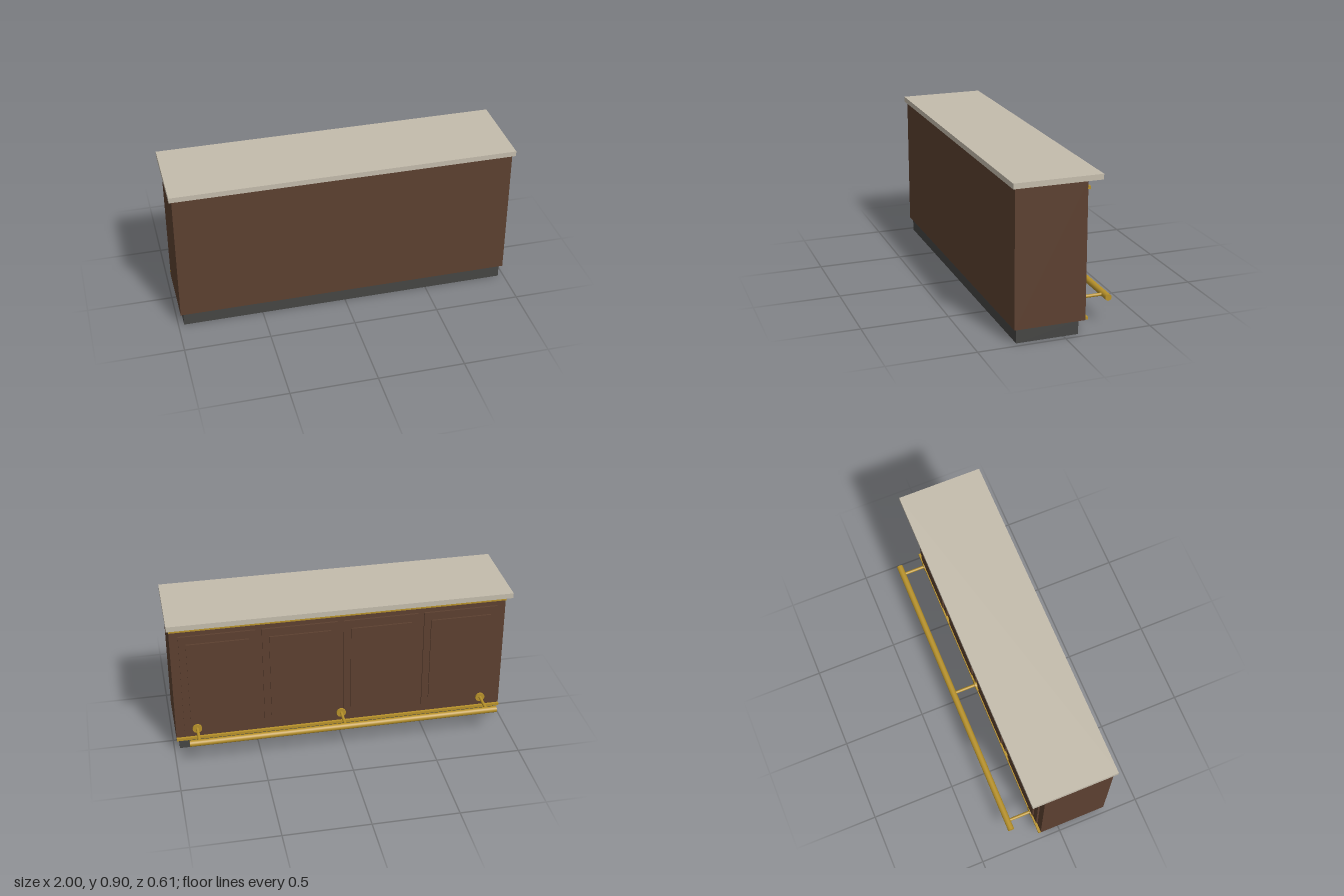
import * as THREE from 'three';

export function createModel() {
  const group = new THREE.Group();
  const material = (color) => new THREE.MeshStandardMaterial({ color });
  const wood = material(0x5c4030);
  const stone = material(0xc4bcac);
  const dark = material(0x454543);
  const brass = material(0xb8922a);

  const add = (name, geometry, mat) => {
    const mesh = new THREE.Mesh(geometry, mat);
    mesh.name = name;
    group.add(mesh);
    return mesh;
  };

  // Box given by its x centre, width, and y and z ranges
  const box = (name, mat, x, width, y0, y1, z0, z1) => {
    const mesh = add(name, new THREE.BoxGeometry(width, y1 - y0, z1 - z0), mat);
    mesh.position.set(x, (y0 + y1) / 2, (z0 + z1) / 2);
  };

  // Cylinder lying along z
  const rod = (name, x, y, radius, z0, z1) => {
    const geometry = new THREE.CylinderGeometry(radius, radius, z1 - z0, 20).rotateX(Math.PI / 2);
    add(name, geometry, brass).position.set(x, y, (z0 + z1) / 2);
  };

  // Plinth, cabinet and countertop
  box('plinth', dark, 0, 1.934, 0, 0.083, -0.086, 0.272);
  box('cabinet', wood, 0, 1.968, 0.083, 0.871, -0.12, 0.288);
  box('countertop', stone, 0, 2, 0.871, 0.902, -0.201, 0.303);

  // Four raised panels, each with a smaller raised field
  for (let i = 0; i < 4; i++) {
    const x = (i - 1.5) * 0.476;
    box('panel', wood, x, 0.44, 0.15, 0.787, -0.131, -0.118);
    box('panelField', wood, x, 0.36, 0.2, 0.738, -0.141, -0.13);
  }

  // Brass trim strips above and below the panels
  for (const y of [0.093, 0.83]) {
    box('trimStrip', brass, 0, 1.968, y - 0.008, y + 0.008, -0.135, -0.119);
  }

  // Foot rail on three brackets
  const railY = 0.165;
  const railZ = -0.284;
  const rail = add('footRail', new THREE.CylinderGeometry(0.019, 0.019, 1.836, 24).rotateZ(Math.PI / 2), brass);
  rail.position.set(0, railY, railZ);
  for (const x of [-0.86, 0, 0.86]) {
    rod('railPost', x, railY, 0.009, railZ, -0.135);
    rod('railFlange', x, railY, 0.028, -0.145, -0.135);
  }

  return group;
}
